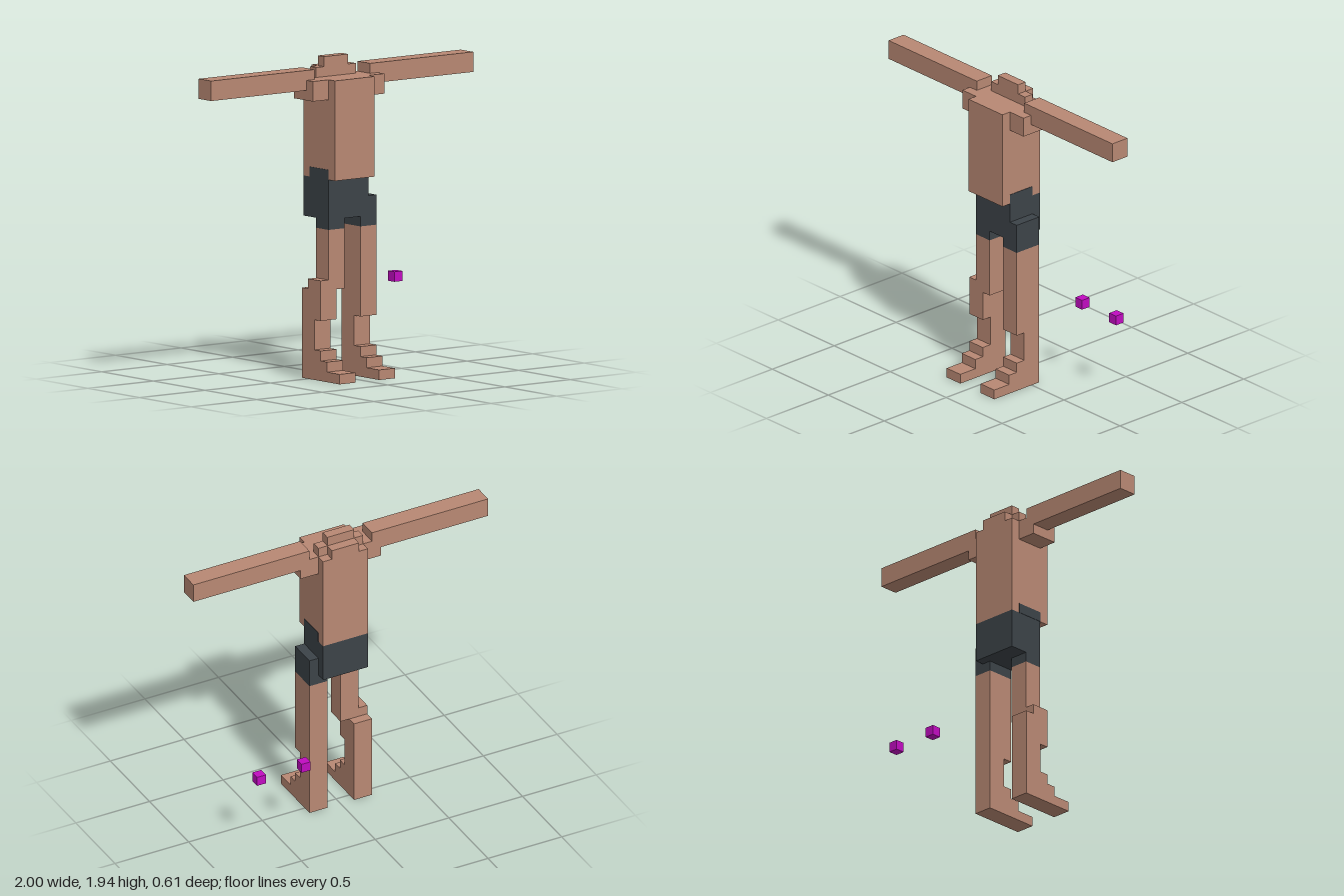
import * as THREE from 'three';

const U = 2 / 33; // one block

function material(name, color) {
  const m = new THREE.MeshStandardMaterial({ color });
  m.name = name;
  return m;
}

export function createModel() {
  const model = new THREE.Group();
  model.name = 'blockFigure';
  const skin = material('skin', 0xb88873);
  const cloth = material('charcoal', 0x3c4348);
  const magenta = material('magenta', 0xc00cc0);

  // Box spanning block coordinates [x0,x1] [y0,y1] [z0,z1]; the grid is 33 wide and 10 deep
  function block(parent, name, mat, [x0, x1], [y0, y1], [z0, z1]) {
    const geo = new THREE.BoxGeometry((x1 - x0) * U, (y1 - y0) * U, (z1 - z0) * U);
    const mesh = new THREE.Mesh(geo, mat);
    mesh.position.set(((x0 + x1) / 2 - 16.5) * U, ((y0 + y1) / 2) * U, ((z0 + z1) / 2 - 5) * U);
    mesh.name = name;
    parent.add(mesh);
  }
  function group(name) {
    const g = new THREE.Group();
    g.name = name;
    model.add(g);
    return g;
  }

  // Torso, shoulders and the stepped neck
  const body = group('body');
  block(body, 'torso', skin, [14, 19], [20, 30], [3, 8]);
  block(body, 'shoulders', skin, [12, 21], [28, 30], [4, 7]);
  block(body, 'neckBase', skin, [14, 19], [30, 31], [4, 5]);
  block(body, 'nape', skin, [15, 18], [30, 31], [3, 4]);
  block(body, 'neckTop', skin, [15, 18], [31, 32], [4, 5]);

  // Straight outstretched arms
  block(model, 'rightArm', skin, [0, 13], [29, 31], [4, 6]);
  block(model, 'leftArm', skin, [20, 33], [29, 31], [4, 6]);

  // Shorts with a raised waistband patch on each hip
  const shorts = group('shorts');
  block(shorts, 'seat', cloth, [14, 19], [16, 20], [3, 7]);
  block(shorts, 'rightShortLeg', cloth, [14, 16], [15, 16], [5, 7]);
  block(shorts, 'leftShortLeg', cloth, [18, 20], [15, 18], [4, 7]);
  block(shorts, 'rightHipPatch', cloth, [13.96, 14], [20, 21], [4, 7]);
  block(shorts, 'leftHipPatch', cloth, [19, 19.04], [20, 21], [4, 7]);

  // Lower leg with the stepped foot
  function shin(parent, x) {
    block(parent, 'shin', skin, x, [3, 6], [4, 6]);
    block(parent, 'ankle', skin, x, [2, 3], [4, 7]);
    block(parent, 'instep', skin, x, [1, 2], [4, 8]);
    block(parent, 'toes', skin, x, [0, 1], [4, 10]);
  }
  const rightLeg = group('rightLeg');
  shin(rightLeg, [13, 15]);
  block(rightLeg, 'knee', skin, [13, 15], [6, 9], [4, 7]);
  block(rightLeg, 'kneeTop', skin, [13, 14], [9, 10], [5, 7]);
  block(rightLeg, 'thigh', skin, [14, 16], [9, 15], [5, 7]);

  const leftLeg = group('leftLeg');
  shin(leftLeg, [18, 20]);
  block(leftLeg, 'thigh', skin, [18, 20], [6, 15], [4, 7]);

  // Two loose marker cubes
  for (const x of [22, 27]) block(model, 'markerCube', magenta, [x, x + 1], [8, 9], [0, 1]);

  return model;
}
